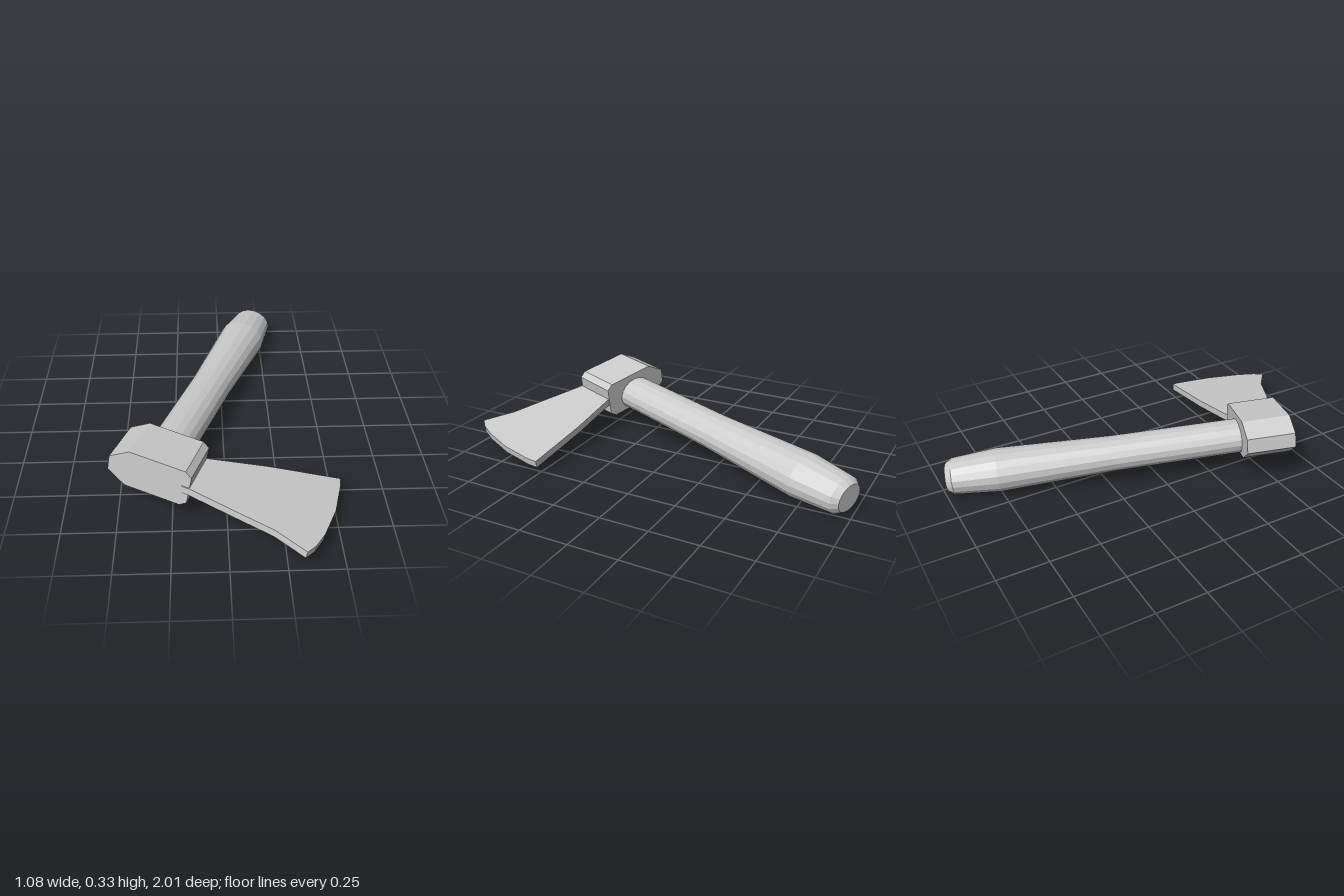
import * as THREE from 'three';

const material = new THREE.MeshStandardMaterial({ color: 0xcccccc, flatShading: true });

// Outline in the XY plane extruded along +z
function extrude(points, depth) {
  const shape = new THREE.Shape(points.map(([x, y]) => new THREE.Vector2(x, y)));
  return new THREE.ExtrudeGeometry(shape, { depth, bevelEnabled: false });
}

function addPart(group, name, geometry) {
  const mesh = new THREE.Mesh(geometry, material);
  mesh.name = name;
  group.add(mesh);
  return mesh;
}

export function createModel() {
  const group = new THREE.Group();
  group.name = 'hatchet';

  // Local frame: x towards the cutting edge, y out of the flat of the blade,
  // z along the handle, with z = 0 at the front face of the head
  const hatchet = new THREE.Group();
  hatchet.name = 'tiltedHatchet';
  const along = new THREE.Vector3(-0.335, 0.062, 0.94).normalize();
  const across = new THREE.Vector3(0.93, -0.165, 0.33);
  across.addScaledVector(along, -across.dot(along)).normalize();
  const normal = new THREE.Vector3().crossVectors(along, across);
  hatchet.quaternion.setFromRotationMatrix(new THREE.Matrix4().makeBasis(across, normal, along));
  hatchet.position.set(-0.345, 0.22, 0.625);
  group.add(hatchet);

  // Chamfered head block, its profile mirrored top to bottom
  const half = [[-0.202, 0.037], [-0.112, 0.097], [0.157, 0.097], [0.188, 0.072]];
  const profile = [...half, ...half.map(([x, y]) => [x, -y]).reverse()].reverse();
  const head = addPart(hatchet, 'head', extrude(profile, 0.243));
  head.position.set(0, 0.003, -0.243);

  // Thin flared blade with a curved cutting edge; outline is (x, -z)
  const blade = addPart(hatchet, 'blade', extrude([
    [0.15, -0.004], [0.193, -0.005], [0.417, -0.04], [0.607, -0.068],
    [0.764, -0.125], [0.791, -0.07], [0.811, 0.016], [0.825, 0.189],
    [0.812, 0.365], [0.80, 0.422], [0.468, 0.331], [0.20, 0.24], [0.15, 0.23],
  ], 0.036));
  blade.rotation.x = -Math.PI / 2;
  blade.position.y = -0.018;

  // Oval handle, swelling towards the grip and tapering to a flat butt
  const rings = [
    [0, -1.706], [0.08, -1.706], [0.106, -1.674], [0.128, -1.454],
    [0.105, -0.879], [0.103, -0.25], [0.103, -0.05], [0, -0.05],
  ];
  const lathe = new THREE.LatheGeometry(rings.map(([r, y]) => new THREE.Vector2(r, y)), 18);
  lathe.rotateX(Math.PI / 2);
  lathe.scale(1, 0.825, 1);
  const handle = addPart(hatchet, 'handle', lathe);
  handle.position.y = -0.018;

  return group;
}
